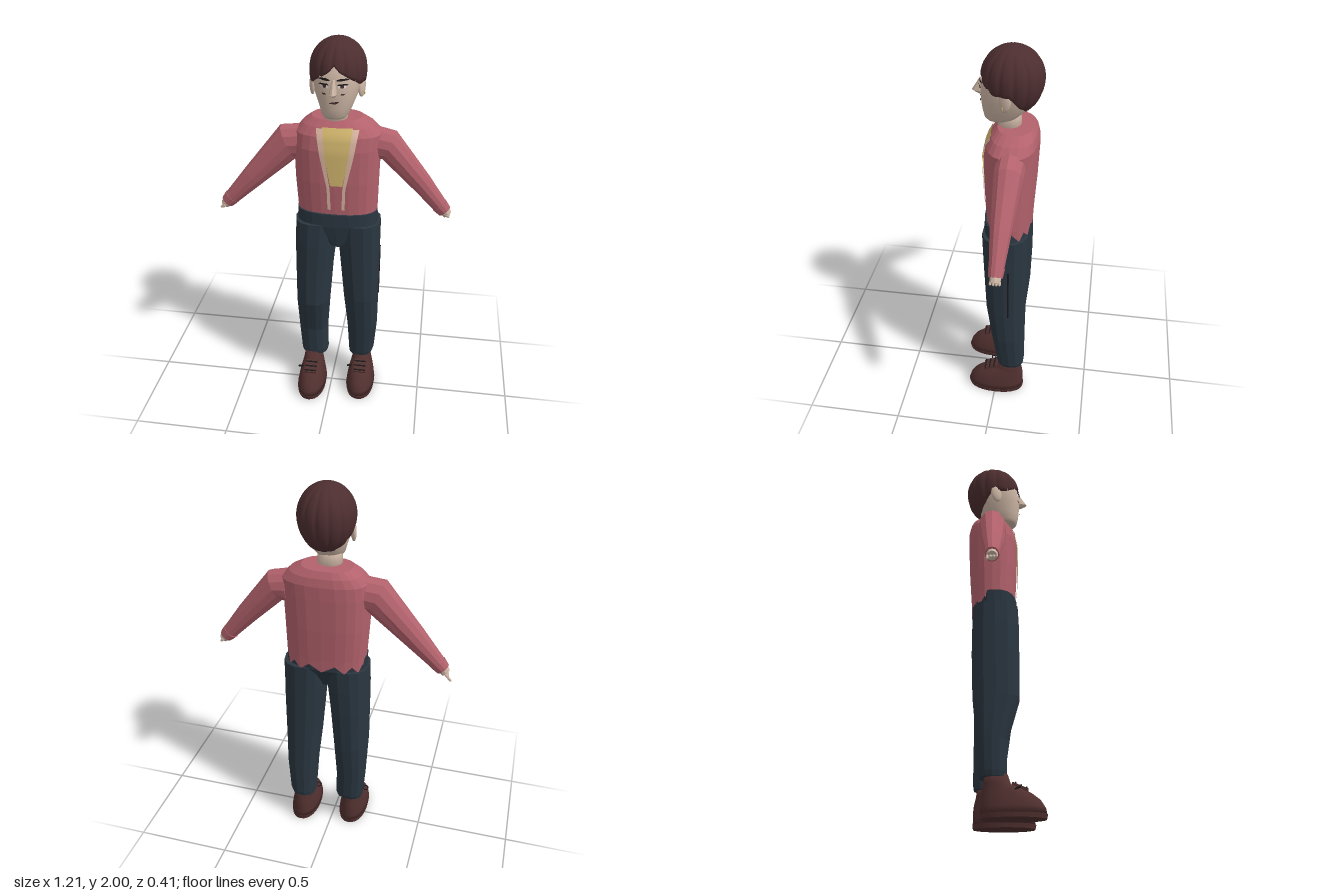
import * as THREE from 'three';

const mat = (name, color) => {
  const m = new THREE.MeshStandardMaterial({ color, side: THREE.DoubleSide });
  m.name = name;
  return m;
};

const spow = (v, p) => Math.sign(v) * Math.abs(v) ** p;

// Section box [y, x0, x1, z0, z1] to ring [cx, cy, cz, rx, rz, tilt]
const toRing = ([y, x0, x1, z0, z1]) => [(x0 + x1) / 2, y, (z0 + z1) / 2, (x1 - x0) / 2, (z1 - z0) / 2, 0];

// Skin a row of superellipse rings, closed at both ends
function loft(rings, seg = 16, n = 2, flat = true, tweak = null) {
  const pos = [], idx = [];
  rings.forEach(([cx, cy, cz, rx, rz, tilt], i) => {
    for (let j = 0; j < seg; j++) {
      const t = (j / seg) * Math.PI * 2;
      const a = rx * spow(Math.cos(t), 2 / n);
      const p = new THREE.Vector3(cx + a * Math.cos(tilt), cy + a * Math.sin(tilt), cz + rz * spow(Math.sin(t), 2 / n));
      if (tweak) tweak(p, i, j);
      pos.push(p.x, p.y, p.z);
    }
  });
  for (let i = 0; i < rings.length - 1; i++)
    for (let j = 0; j < seg; j++) {
      const a = i * seg + j, b = i * seg + (j + 1) % seg, c = a + seg, d = b + seg;
      idx.push(a, c, b, b, c, d);
    }
  const last = rings.length - 1, base = rings.length * seg;
  pos.push(...rings[0].slice(0, 3), ...rings[last].slice(0, 3));
  for (let j = 0; j < seg; j++) {
    const k = (j + 1) % seg;
    idx.push(base, j, k, base + 1, last * seg + k, last * seg + j);
  }
  return finish(pos, idx, flat);
}

function finish(pos, idx, flat) {
  let g = new THREE.BufferGeometry();
  g.setAttribute('position', new THREE.Float32BufferAttribute(pos, 3));
  g.setIndex(idx);
  if (flat) g = g.toNonIndexed();
  g.computeVertexNormals();
  return g;
}

// Front surface depth of a lofted body at (x, y)
const frontOf = (secs, n) => (x, y) => {
  let i = 0;
  while (i < secs.length - 2 && y > secs[i + 1][0]) i++;
  const t = (y - secs[i][0]) / (secs[i + 1][0] - secs[i][0]);
  const [cx, , cz, rx, rz] = toRing(secs[i].map((v, k) => v + (secs[i + 1][k] - v) * t));
  return cz + rz * Math.max(0, 1 - Math.abs((x - cx) / rx) ** n) ** (1 / n);
};

// Thin plate laid on a surface; rows run downward as [y, xLeft, xRight]
function plate(rows, depth, lift, cols = 6, sub = 6) {
  const pos = [], idx = [], full = [];
  rows.forEach((r, i) => {
    if (!i) return full.push(r);
    for (let k = 1; k <= sub; k++) full.push(r.map((v, c) => rows[i - 1][c] + (v - rows[i - 1][c]) * k / sub));
  });
  full.forEach(([y, l, r], i) => {
    for (let j = 0; j <= cols; j++) {
      const x = l + (r - l) * j / cols;
      pos.push(x, y, depth(x, y) + lift);
      if (i && j) {
        const d = i * (cols + 1) + j, c = d - 1, b = d - cols - 1, a = b - 1;
        idx.push(a, c, b, b, c, d);
      }
    }
  });
  return finish(pos, idx, false);
}

// Scalloped cap of hair with a fringe parted at the front
function hairGeometry() {
  const seg = 112, rows = 16, pos = [], idx = [];
  const hem = [[0, 1.895], [12, 1.865], [30, 1.838], [58, 1.80], [90, 1.80], [112, 1.74], [140, 1.705], [180, 1.70]];
  const hemAt = (deg) => {
    let i = 0;
    while (i < hem.length - 2 && deg > hem[i + 1][0]) i++;
    return THREE.MathUtils.mapLinear(deg, hem[i][0], hem[i + 1][0], hem[i][1], hem[i + 1][1]);
  };
  for (let i = 0; i <= rows + 1; i++)
    for (let j = 0; j < seg; j++) {
      const t = (j / seg) * Math.PI * 2;
      const deg = Math.abs(Math.atan2(Math.sin(t), Math.cos(t))) * 180 / Math.PI;
      const low = hemAt(deg), s = Math.min(1, i / rows);
      const y = 1.998 - (1.998 - low) * s ** 1.7;
      const dy = y - 1.85;
      let r = Math.sqrt(Math.max(0, 1 - (dy / (dy > 0 ? 0.148 : 0.18)) ** 2));
      r *= 1 - 0.06 * (1 - Math.abs(Math.sin(t * 7 + 0.6))) ** 2;
      if (i > rows) r *= 0.85;
      pos.push(0.022 + 0.137 * r * Math.sin(t), y, -0.06 + 0.147 * r * Math.cos(t));
      if (i) {
        const d = i * seg + j, c = i * seg + (j + 1) % seg;
        idx.push(d - seg, d, c - seg, c - seg, d, c);
      }
    }
  return finish(pos, idx, false);
}

export function createModel() {
  const model = new THREE.Group();
  const skin = mat('skin', 0xcdb6a5), hair = mat('hair brown', 0x4d2e30), shirt = mat('rose knit', 0xb3626c);
  const cloth = mat('dark denim', 0x2a3640), leather = mat('brown leather', 0x50302f), yellow = mat('yellow', 0xd2b66e);
  const trim = mat('trim', 0xd9b5a0), dark = mat('dark', 0x1d191c), white = mat('eye white', 0xe6e0da);

  const add = (name, geo, m, parent = model) => {
    const mesh = new THREE.Mesh(geo, m);
    mesh.name = name;
    parent.add(mesh);
    return mesh;
  };
  const body = (name, secs, m, seg, n, flat, tweak) => add(name, loft(secs.map(toRing), seg, n, flat, tweak), m);

  // Sweater, with a jagged hem at the back
  const torso = [[1.06, -0.175, 0.225, -0.168, 0.05], [1.13, -0.179, 0.229, -0.17, 0.058], [1.3, -0.19, 0.232, -0.182, 0.068],
    [1.47, -0.195, 0.236, -0.19, 0.07], [1.54, -0.188, 0.24, -0.19, 0.058], [1.58, -0.155, 0.2, -0.182, 0.036],
    [1.612, -0.11, 0.14, -0.165, 0.008]];
  body('sweater', torso, shirt, 24, 2.5, true, (p, i, j) => { if (i === 0 && p.z < -0.08 && j % 2) p.y += 0.04; });

  // Chest panel, neckline trim and cords
  const chest = frontOf(torso, 2.5);
  add('chestPanel', plate([[1.585, -0.042, 0.107], [1.45, -0.027, 0.092], [1.295, 0.002, 0.063]], chest, 0.005, 10), yellow);
  add('rightTrim', plate([[1.58, -0.072, -0.04], [1.45, -0.05, -0.025], [1.28, -0.015, 0], [1.16, -0.012, 0.004]], chest, 0.007), trim);
  add('leftTrim', plate([[1.58, 0.105, 0.137], [1.45, 0.09, 0.115], [1.28, 0.063, 0.078], [1.16, 0.058, 0.074]], chest, 0.007), trim);

  // Sleeves, cuffs and hands; s is the side
  const arm = (side, s, rings, fingers) => {
    const make = (name, list, m, seg) => add(side + name, loft(list.map(([x, y, z, rx, rz, t]) => [x, y, z, rx, rz, s * t]), seg), m);
    make('Sleeve', rings, shirt, 12);
    const [x, y, z] = rings[0], dx = 0.67 * s, dy = -0.74;
    const along = (k, rx, rz) => [x + dx * k, y + dy * k, z, rx, rz, 0.735];
    make('Cuff', [along(0.012, 0.036, 0.033), along(-0.03, 0.043, 0.039)], shirt, 12);
    make('Palm', [along(0.036, 0.024, 0.024), along(0, 0.029, 0.029)], skin, 10);
    for (let i = 0; i < 4; i++) {
      const f = add(side + 'Finger', new THREE.CapsuleGeometry(0.007, fingers[i], 3, 6), skin);
      const k = 0.034 + fingers[i] / 2;
      f.position.set(x + dx * k, y + dy * k, z + (i - 1.5) * 0.014);
      f.rotation.z = s * 0.735;
    }
  };
  arm('left', 1, [[0.562, 1.14, -0.064, 0.037, 0.033, 0.735], [0.44, 1.285, -0.067, 0.055, 0.05, 0.76],
    [0.275, 1.47, -0.074, 0.08, 0.07, 1.1], [0.21, 1.48, -0.075, 0.085, 0.072, 1.57]], [0.008, 0.01, 0.01, 0.008]);
  arm('right', -1, [[-0.553, 1.118, -0.046, 0.037, 0.034, 0.735], [-0.41, 1.27, -0.05, 0.06, 0.055, 0.76],
    [-0.225, 1.467, -0.058, 0.094, 0.072, 1.13], [-0.16, 1.475, -0.06, 0.088, 0.072, 1.57]], [0.042, 0.018, 0.014, 0.01]);

  // Trousers
  body('waistband', [[0.94, -0.01, 0.08, -0.1, 0.055], [1.06, -0.18, 0.235, -0.158, 0.07], [1.13, -0.181, 0.231, -0.156, 0.068]], cloth, 24, 2.5);
  body('rightLeg', [[0.185, -0.172, -0.03, -0.112, 0.012], [0.21, -0.178, -0.025, -0.12, 0.016], [0.36, -0.19, -0.028, -0.13, 0.02],
    [0.57, -0.195, -0.012, -0.152, 0.08], [0.8, -0.196, 0.005, -0.16, 0.08], [0.94, -0.196, 0.02, -0.16, 0.08],
    [1.065, -0.192, 0.03, -0.158, 0.074]], cloth, 14, 2.4);
  body('leftLeg', [[0.185, 0.093, 0.224, -0.152, -0.012], [0.21, 0.09, 0.233, -0.156, -0.006], [0.4, 0.08, 0.248, -0.156, 0.022],
    [0.6, 0.06, 0.25, -0.157, 0.05], [0.94, 0.03, 0.25, -0.162, 0.066], [1.065, 0.025, 0.25, -0.163, 0.07]], cloth, 14, 2.4);
  const seam = add('sideSeam', new THREE.BoxGeometry(0.008, 0.3, 0.008), dark);
  seam.position.set(0.248, 0.74, -0.075);

  // Shoes with soles, tongues and laces
  for (const [side, dx, dz, s] of [['left', 0, 0, 1], ['right', -0.275, 0.045, -1]]) {
    const shift = (secs) => secs.map(([y, a, b, c, d]) => [y, a + dx, b + dx, c + dz, d + dz]);
    body(side + 'Sole', shift([[0, 0.092, 0.246, -0.153, 0.15], [0.022, 0.089, 0.249, -0.156, 0.155]]), leather, 28, 2.2);
    body(side + 'Shoe', shift([[0.02, 0.091, 0.247, -0.154, 0.152], [0.05, 0.092, 0.245, -0.154, 0.147], [0.085, 0.098, 0.238, -0.153, 0.125],
      [0.115, 0.106, 0.23, -0.15, 0.085], [0.14, 0.112, 0.222, -0.144, 0.03], [0.155, 0.115, 0.217, -0.14, -0.01],
      [0.2, 0.117, 0.213, -0.135, -0.025]]), leather, 28, 2.2, false);
    const tongue = add(side + 'Tongue', new THREE.BoxGeometry(0.065, 0.012, 0.08), leather);
    tongue.position.set(0.167 + dx, 0.142, 0.03 + dz);
    tongue.rotation.x = 0.4;
    for (let i = 0; i < 3; i++) {
      const lace = add(side + 'Lace', new THREE.CapsuleGeometry(0.004, 0.06, 2, 6), dark);
      lace.position.set(0.167 + dx, 0.16 - i * 0.011, 0.01 + i * 0.025 + dz);
      lace.rotation.z = Math.PI / 2;
    }
    const bow = add(side + 'Bow', new THREE.TorusGeometry(0.014, 0.003, 5, 12), dark);
    bow.position.set(0.167 + dx - 0.06, 0.13, 0.02 + dz);
    bow.rotation.x = 1.1;
  }

  // Neck and head
  body('neck', [[1.59, -0.05, 0.074, -0.105, 0.012], [1.67, -0.047, 0.07, -0.1, 0.012]], skin, 16, 2, false);
  const head = [[1.637, -0.035, 0.068, -0.06, 0.06], [1.652, -0.05, 0.084, -0.085, 0.072], [1.69, -0.061, 0.1, -0.125, 0.08],
    [1.75, -0.083, 0.124, -0.155, 0.086], [1.82, -0.094, 0.134, -0.17, 0.086], [1.89, -0.088, 0.13, -0.165, 0.067],
    [1.95, -0.05, 0.09, -0.13, 0.015]];
  body('head', head, skin, 28, 2.3, false);
  body('nose', [[1.757, 0.006, 0.032, 0.06, 0.1], [1.772, 0, 0.037, 0.06, 0.13], [1.835, 0.011, 0.027, 0.06, 0.092]], skin, 8, 2);
  add('hair', hairGeometry(), hair);

  // Ears and earring
  for (const [side, x, s] of [['left', 0.137, 1], ['right', -0.098, -1]]) {
    const ear = add(side + 'Ear', new THREE.SphereGeometry(1, 14, 10), skin);
    ear.scale.set(0.014, 0.053, 0.03);
    ear.position.set(x, 1.775, -0.04);
    ear.rotation.set(-0.15, s * -0.35, 0);
  }
  const ring = add('earring', new THREE.TorusGeometry(0.009, 0.003, 6, 12), yellow);
  ring.position.set(0.143, 1.745, -0.03);

  // Painted face
  const face = frontOf(head, 2.3);
  for (const [side, x, s] of [['left', 0.06, 1], ['right', -0.022, -1]]) {
    const spot = (name, rows, m, lift) => add(side + name, plate(rows.map(([y, a, b]) =>
      s > 0 ? [y, x + a, x + b] : [y, x - b, x - a]), face, lift, 6, 3), m);
    spot('Eye', [[1.814, -0.014, 0.014], [1.806, -0.02, 0.021], [1.798, -0.014, 0.014]], white, 0.004);
    spot('Iris', [[1.815, -0.006, 0.006], [1.806, -0.009, 0.009], [1.798, -0.006, 0.006]], hair, 0.006);
    spot('Lashes', [[1.819, -0.014, 0.02], [1.812, -0.022, 0.03]], dark, 0.008);
    spot('Brow', [[1.842, -0.008, 0.02], [1.836, -0.024, 0.034], [1.831, -0.026, -0.005]], dark, 0.008);
    spot('CheekMark', [[1.772, -0.004, 0.014], [1.765, -0.008, 0.008]], hair, 0.004);
  }
  add('mouth', plate([[1.734, 0.035, 0.046], [1.727, -0.002, 0.042], [1.722, 0.004, 0.03]], face, 0.005), hair);

  return model;
}
